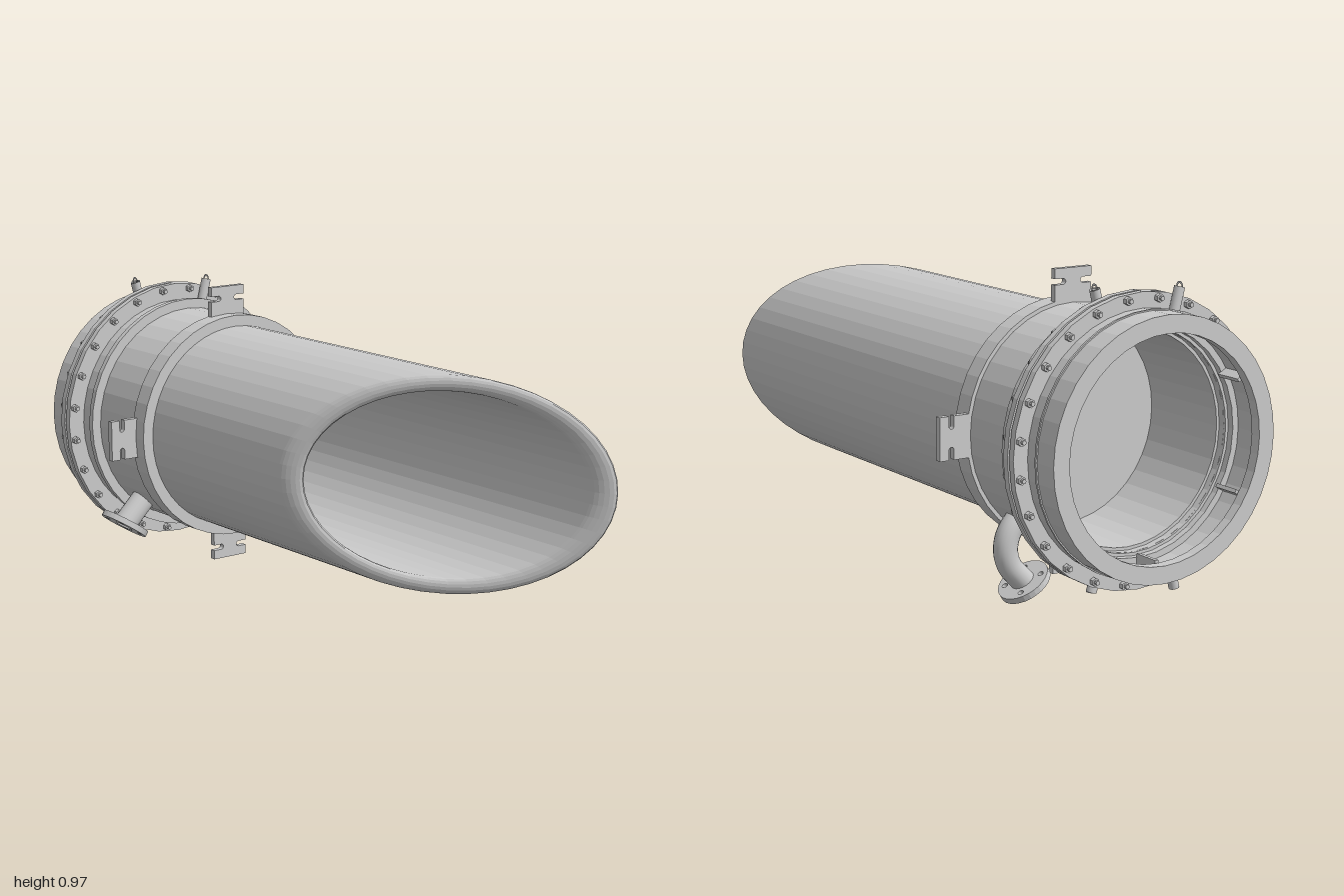
import * as THREE from 'three';

const CY = 0.52; // height of the main axis
const SIDES = 40;
const mat = new THREE.MeshStandardMaterial({ color: 0xcccccc, flatShading: true, side: THREE.DoubleSide });
const smooth = new THREE.MeshStandardMaterial({ color: 0xcccccc, side: THREE.DoubleSide });

function add(parent, name, geo, material = mat) {
  const m = new THREE.Mesh(geo, material);
  m.name = name;
  parent.add(m);
  return m;
}

// Lathe of [radius, z] points around the z axis
function turned(points, sides = SIDES) {
  const pts = points.map(([r, z]) => new THREE.Vector2(r, z));
  return new THREE.LatheGeometry(pts, sides).rotateX(Math.PI / 2);
}

// Rectangular ring between two radii and two z values
const ring = (ri, ro, z0, z1, sides) => turned([[ri, z0], [ro, z0], [ro, z1], [ri, z1], [ri, z0]], sides);

// Hollow tube whose front end is cut on a slant and has a rounded lip
function slantedTube() {
  const BASE = -5, h = 0.025;
  const pts = [[0, BASE], [0.34, BASE]];
  for (let i = 0; i <= 8; i++) {
    const a = (i / 8) * Math.PI;
    pts.push([0.315 + h * Math.cos(a), -h * (1 - Math.sin(a))]);
  }
  pts.push([0.29, BASE + 0.01], [0, BASE + 0.01]);
  const geo = turned(pts, 48);
  const p = geo.attributes.position;
  for (let i = 0; i < p.count; i++) {
    const z = p.getZ(i);
    p.setZ(i, z < -1 ? z - BASE - 0.5 : z + 0.631 + 1.13 * p.getX(i));
  }
  geo.computeVertexNormals();
  return geo;
}

// Mounting plate with a rounded slot cut into each side
function bracketPlate() {
  const s = new THREE.Shape();
  const w = 0.066, slot = 0.43, hw = 0.009, d = 0.036;
  s.moveTo(-w, 0.37);
  s.lineTo(w, 0.37);
  s.lineTo(w, slot - hw);
  s.lineTo(d, slot - hw);
  s.absarc(d, slot, hw, -Math.PI / 2, Math.PI / 2, true);
  s.lineTo(w, slot + hw);
  s.lineTo(w, 0.47);
  s.lineTo(-w, 0.47);
  s.lineTo(-w, slot + hw);
  s.lineTo(-d, slot + hw);
  s.absarc(-d, slot, hw, Math.PI / 2, -Math.PI / 2, true);
  s.lineTo(-w, slot - hw);
  return new THREE.ExtrudeGeometry(s, { depth: 0.02, bevelEnabled: false, curveSegments: 8 }).translate(0, 0, -0.53);
}

// Small pipe flange with a bore and bolt holes, centred on its own z axis
function pipeFlange() {
  const s = new THREE.Shape().absarc(0, 0, 0.083, 0, Math.PI * 2);
  const hole = (x, y, r) => s.holes.push(new THREE.Path().absarc(x, y, r, 0, Math.PI * 2, true));
  hole(0, 0, 0.03);
  for (let i = 0; i < 4; i++) {
    const a = Math.PI / 4 + (i * Math.PI) / 2;
    hole(0.06 * Math.cos(a), 0.06 * Math.sin(a), 0.009);
  }
  return new THREE.ExtrudeGeometry(s, { depth: 0.02, bevelEnabled: false, curveSegments: 14 }).translate(0, 0, -0.01);
}

// Pipe along a path, with outer and inner wall
function pipe(parent, name, path, ro, ri, segs = 1) {
  const g = new THREE.Group();
  g.name = name;
  add(g, 'pipeWall', new THREE.TubeGeometry(path, segs, ro, 20), smooth);
  add(g, 'pipeBore', new THREE.TubeGeometry(path, segs, ri, 16), smooth);
  parent.add(g);
  return g;
}

export function createModel() {
  const root = new THREE.Group();
  root.name = 'slantedDuct';
  const body = new THREE.Group();
  body.name = 'body';
  body.position.y = CY;
  root.add(body);

  add(body, 'slantedTube', slantedTube());

  // Stepped sleeve with collar and lip
  add(body, 'sleeve', turned([
    [0.325, -0.82], [0.385, -0.82], [0.385, -0.765], [0.397, -0.765], [0.397, -0.745],
    [0.365, -0.745], [0.365, -0.53], [0.377, -0.53], [0.377, -0.465], [0.335, -0.465],
    [0.335, -0.5], [0.325, -0.5], [0.325, -0.82]]));

  // Bolted flange pair with gasket
  add(body, 'frontFlange', ring(0.335, 0.442, -0.842, -0.82, 32));
  add(body, 'gasket', ring(0.335, 0.405, -0.85, -0.842));
  add(body, 'rearFlange', ring(0.345, 0.442, -0.872, -0.85, 32));

  // Rear barrel with an inner groove and a thin seam band
  add(body, 'rearBarrel', turned([
    [0.34, -1], [0.394, -1], [0.394, -0.872], [0.365, -0.872], [0.365, -0.965], [0.34, -0.965], [0.34, -1]]));
  add(body, 'seamBand', ring(0.39, 0.398, -0.92, -0.912));

  // Inner tabs of the rear barrel
  for (let i = 0; i < 6; i++) {
    const a = (i * Math.PI) / 3 + Math.PI / 6;
    const tab = add(body, 'innerTab', new THREE.BoxGeometry(0.035, 0.012, 0.09));
    tab.position.set(0.35 * Math.cos(a), 0.35 * Math.sin(a), -0.915);
    tab.rotation.z = a;
  }

  // Studs with a nut on each side
  const stud = new THREE.CylinderGeometry(0.007, 0.007, 0.1, 8).rotateX(Math.PI / 2);
  const nut = new THREE.CylinderGeometry(0.013, 0.013, 0.014, 6).rotateX(Math.PI / 2);
  for (let i = 0; i < 24; i++) {
    const a = ((i + 0.5) * Math.PI) / 12;
    const bolt = new THREE.Group();
    bolt.name = 'bolt';
    bolt.position.set(0.424 * Math.cos(a), 0.424 * Math.sin(a), -0.846);
    add(bolt, 'stud', stud);
    for (const s of [-1, 1]) add(bolt, 'nut', nut).position.z = s * 0.033;
    body.add(bolt);
  }

  // Four slotted mounting brackets
  const plate = bracketPlate();
  for (let i = 0; i < 4; i++) add(body, 'mountingBracket', plate).rotation.z = (i * Math.PI) / 2;

  // Small radial nozzles on both sides of the flanges
  for (const sx of [-1, 1]) for (const sy of [-1, 1]) {
    const z = sx > 0 ? -0.801 : -0.893;
    const dir = new THREE.Vector3(sx * Math.sin(0.255), sy * Math.cos(0.255), 0);
    const at = (r) => dir.clone().multiplyScalar(r).setZ(z);
    const n = pipe(body, 'nozzle', new THREE.LineCurve3(at(0.37), at(0.465)), 0.016, 0.009);
    const end = add(n, 'nozzleEnd', new THREE.RingGeometry(0.009, 0.016, 20));
    end.position.copy(at(0.465));
    end.lookAt(at(1));
  }

  // Straight branch pipe
  const k = Math.SQRT1_2;
  const onRadius = (sx, r, z) => new THREE.Vector3(sx * k * r, -k * r, z);
  pipe(body, 'branchPipe', new THREE.LineCurve3(onRadius(-1, 0.35, -0.66), onRadius(-1, 0.47, -0.66)), 0.04, 0.03);
  const branchFlange = add(body, 'branchFlange', pipeFlange());
  branchFlange.position.copy(onRadius(-1, 0.467, -0.66));
  branchFlange.rotation.set(Math.PI / 2, -Math.PI / 4, 0, 'ZXY');
  branchFlange.lookAt(onRadius(-1, 2, -0.66));

  // Elbow pipe turning 90 degrees
  const zE = -0.61, R = 0.106;
  const pts = [onRadius(1, 0.34, zE)];
  for (let i = 0; i <= 12; i++) {
    const a = Math.PI / 4 - (i / 12) * (Math.PI / 2);
    pts.push(new THREE.Vector3(0.187 + R * Math.cos(a), 0.183 - CY + R * Math.sin(a), zE));
  }
  const outlet = new THREE.Vector3(0.226, 0.071 - CY, zE);
  pts.push(outlet);
  pipe(body, 'elbowPipe', new THREE.CatmullRomCurve3(pts), 0.037, 0.029, 28);
  const elbowFlange = add(body, 'elbowFlange', pipeFlange());
  elbowFlange.position.copy(outlet);
  elbowFlange.lookAt(outlet.clone().add(new THREE.Vector3(-1, -1, 0)));

  return root;
}
